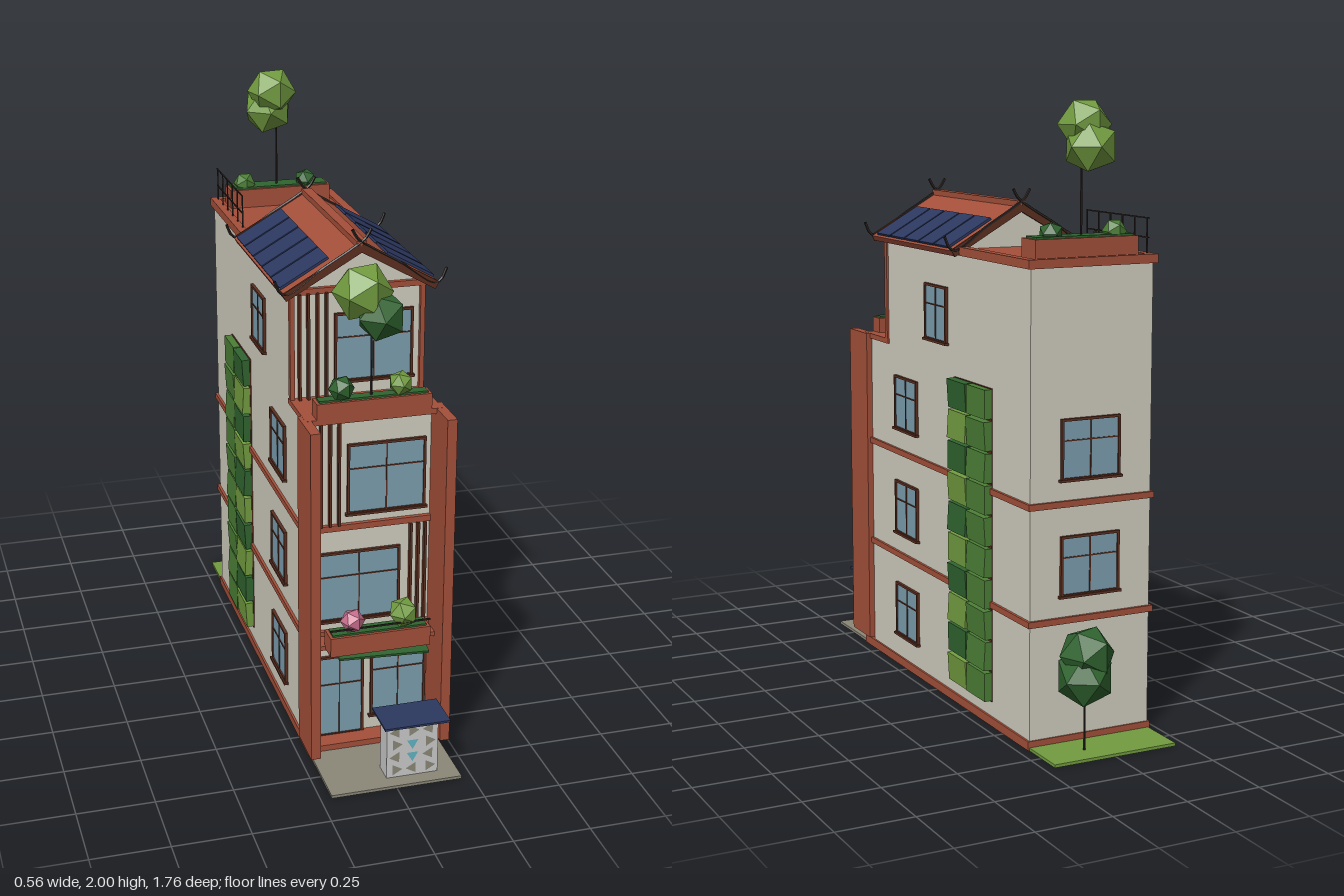
import * as THREE from 'three';

const C = {
  wall: 0xd2cec0, red: 0xa5503a, frame: 0x5c2f20, glass: 0x7d9fb0, dark: 0x2e2623, navy: 0x2c3860,
  light: 0x729c40, mid: 0x4c7f36, deep: 0x30642f, pink: 0xc96f8e, paving: 0x8b8778, teal: 0x62b4c4, pale: 0xcccccc,
};
const mats = {};
const mat = (c) => (mats[c] ??= new THREE.MeshStandardMaterial({ color: C[c], flatShading: true, side: THREE.DoubleSide }));

function add(parent, name, geo, color, x = 0, y = 0, z = 0) {
  const m = new THREE.Mesh(geo, mat(color));
  m.name = name;
  m.position.set(x, y, z);
  parent.add(m);
  return m;
}
// Box given by its bounds
function box(parent, name, color, [x0, x1], [y0, y1], [z0, z1]) {
  return add(parent, name, new THREE.BoxGeometry(x1 - x0, y1 - y0, z1 - z0), color,
    (x0 + x1) / 2, (y0 + y1) / 2, (z0 + z1) / 2);
}
function group(parent, name) {
  const g = new THREE.Group();
  g.name = name;
  parent.add(g);
  return g;
}

// Framed pane facing +z, origin at its centre
function windowUnit(parent, name, w, h, sill = true) {
  const g = group(parent, name), a = w / 2, b = h / 2, t = 0.008;
  box(g, 'glass', 'glass', [-a, a], [-b, b], [-0.002, 0.004]);
  for (const s of [-1, 1]) {
    box(g, 'frameSide', 'frame', [s * a - t / 2, s * a + t / 2], [-b, b], [-0.002, 0.009]);
    box(g, 'frameRail', 'frame', [-a - t / 2, a + t / 2], [s * b - t / 2, s * b + t / 2], [-0.002, 0.009]);
  }
  box(g, 'mullion', 'frame', [-0.002, 0.002], [-b, b], [0, 0.007]);
  box(g, 'transom', 'frame', [-a, a], [b * 0.3 - 0.002, b * 0.3 + 0.002], [0, 0.007]);
  if (sill) box(g, 'sill', 'frame', [-a - 0.01, a + 0.01], [-b - 0.008, -b], [-0.002, 0.014]);
  return g;
}

// Faceted clump of leaves
function clump(parent, color, r, x, y, z, turn = 0) {
  add(parent, 'foliage', new THREE.IcosahedronGeometry(r, 0), color, x, y, z).rotation.y = turn;
}
function trunk(parent, x, z, y0, y1) {
  add(parent, 'trunk', new THREE.CylinderGeometry(0.003, 0.004, y1 - y0, 5), 'dark', x, (y0 + y1) / 2, z);
}
function planter(parent, name, hw, y, z) {
  const g = group(parent, name);
  box(g, 'trough', 'red', [-hw, hw], y, z);
  box(g, 'planting', 'deep', [-hw + 0.01, hw - 0.01], [y[1] - 0.005, y[1] + 0.006], [z[0] + 0.01, z[1] - 0.01]);
  return g;
}
function louvres(parent, xs, y, z) {
  for (const x of xs) box(parent, 'louvre', 'frame', [x - 0.004, x + 0.004], y, [z, z + 0.018]);
}

export function createModel() {
  const root = new THREE.Group();
  root.name = 'townHouse';

  // Ground
  box(root, 'paving', 'paving', [-0.215, 0.215], [0, 0.01], [0.5, 0.88]);
  box(root, 'lawn', 'light', [-0.215, 0.215], [0, 0.01], [-0.84, -0.66]);

  // Walls, plinth and floor bands
  const body = group(root, 'body');
  box(body, 'plinth', 'red', [-0.22, 0.22], [0.001, 0.03], [-0.675, 0.62]);
  box(body, 'lowerWalls', 'wall', [-0.213, 0.213], [0.03, 1.15], [-0.67, 0.55]);
  box(body, 'upperWalls', 'wall', [-0.213, 0.213], [1.15, 1.51], [-0.67, 0.4]);
  for (const y of [0.395, 0.765]) box(body, 'floorBand', 'red', [-0.222, 0.222], [y, y + 0.02], [-0.68, 0.565]);
  box(body, 'terraceSlab', 'red', [-0.22, 0.22], [1.145, 1.163], [0.39, 0.6]);
  for (const s of [-1, 1]) {
    add(body, 'frontFin', new THREE.BoxGeometry(0.032, 1.125, 0.155), 'red', s * 0.217, 0.6, 0.627);
    add(body, 'terracePost', new THREE.BoxGeometry(0.015, 0.35, 0.02), 'red', s * 0.212, 1.335, 0.405);
  }

  // Side windows and planted walls, both sides
  for (const s of [-1, 1]) {
    for (const [z, y, w] of [[0.243, 0.207, 0.175], [0.243, 0.577, 0.175], [0.243, 0.95, 0.175], [-0.005, 1.298, 0.16]]) {
      const win = windowUnit(root, 'sideWindow', w, 0.18);
      win.position.set(s * 0.214, y, z);
      win.rotation.y = s * Math.PI / 2;
    }
    const green = group(root, 'greenWall');
    const shades = ['light', 'deep', 'mid', 'mid', 'deep', 'light', 'light', 'mid', 'deep'];
    for (let r = 0; r < 10; r++) for (let c = 0; c < 2; c++) {
      const p = add(green, 'plantPanel', new THREE.BoxGeometry(0.028, 0.094, 0.133),
        shades[(r * 4 + c * 7 + (r >> 1)) % 9], s * 0.228, 0.131 + r * 0.1027, -0.209 - c * 0.139);
      p.rotation.z = s * (((r + c) % 3) - 1) * 0.06;
    }
    box(green, 'backing', 'frame', s > 0 ? [0.21, 0.217] : [-0.217, -0.21], [0.08, 1.105], [-0.415, -0.14]);
  }

  // Back windows
  for (const y of [0.577, 0.945]) {
    const win = windowUnit(root, 'backWindow', 0.2, 0.185);
    win.position.set(0.005, y, -0.671);
    win.rotation.y = Math.PI;
  }

  // Front openings: x, y, z, width, height
  for (const [name, x, y, z, w, h] of [
    ['door', -0.097, 0.172, 0.551, 0.155, 0.285], ['groundWindow', 0.102, 0.21, 0.551, 0.18, 0.25],
    ['secondFloorWindow', -0.033, 0.567, 0.551, 0.265, 0.235], ['thirdFloorWindow', 0.055, 0.935, 0.551, 0.25, 0.23],
    ['terraceWindow', 0.055, 1.32, 0.401, 0.25, 0.22],
  ]) windowUnit(root, name, w, h, name !== 'door').position.set(x, y, z);
  louvres(root, [-0.19, -0.162, -0.132, -0.103], [1.163, 1.51], 0.41);
  louvres(root, [-0.19, -0.162, -0.132, -0.103], [0.785, 1.145], 0.555);
  louvres(root, [0.135, 0.16, 0.183], [0.415, 0.765], 0.555);

  // Balcony with flowers and a tilted awning
  const balcony = planter(root, 'balconyPlanter', 0.165, [0.39, 0.455], [0.62, 0.69]);
  box(balcony, 'balconyFloor', 'red', [-0.2, 0.2], [0.385, 0.4], [0.55, 0.63]);
  box(balcony, 'rail', 'dark', [-0.165, 0.165], [0.477, 0.482], [0.683, 0.688]);
  clump(balcony, 'pink', 0.04, -0.085, 0.495, 0.66, 0.4);
  clump(balcony, 'light', 0.05, 0.085, 0.5, 0.655, 0.8);
  const awning = add(root, 'awning', new THREE.BoxGeometry(0.3, 0.008, 0.12), 'deep', 0.015, 0.377, 0.625);
  awning.rotation.set(0.16, 0, -0.05);

  // Terrace planter and tree
  const terrace = planter(root, 'terracePlanter', 0.185, [1.16, 1.215], [0.545, 0.602]);
  trunk(terrace, -0.005, 0.575, 1.21, 1.5);
  clump(terrace, 'light', 0.095, -0.03, 1.55, 0.56, 0.3);
  clump(terrace, 'deep', 0.082, 0.02, 1.48, 0.59, 0.9);
  clump(terrace, 'deep', 0.042, -0.1, 1.25, 0.575, 0.5);
  clump(terrace, 'light', 0.04, 0.09, 1.25, 0.575, 1);

  // Flat roof with low kerb
  const deck = group(root, 'roofDeck');
  box(deck, 'slab', 'red', [-0.225, 0.225], [1.505, 1.524], [-0.68, 0.415]);
  box(deck, 'backKerb', 'red', [-0.225, 0.225], [1.52, 1.533], [-0.68, -0.65]);
  for (const s of [-1, 1]) add(deck, 'sideKerb', new THREE.BoxGeometry(0.03, 0.013, 0.48), 'red', s * 0.21, 1.5265, -0.44);

  // Roof planter and tree
  const garden = planter(root, 'roofPlanter', 0.18, [1.524, 1.588], [-0.635, -0.545]);
  trunk(garden, -0.005, -0.585, 1.58, 1.87);
  clump(garden, 'light', 0.085, -0.025, 1.928, -0.565, 0.2);
  clump(garden, 'light', 0.088, -0.033, 1.862, -0.59, 0.9);
  clump(garden, 'mid', 0.04, -0.12, 1.6, -0.59);
  clump(garden, 'deep', 0.04, 0.1, 1.6, -0.585, 1);

  // Roof railing
  const railing = group(root, 'railing');
  for (let i = 0; i < 6; i++) box(railing, 'post', 'dark', [-0.205, -0.201], [1.524, 1.642], [-0.275 - i * 0.075, -0.271 - i * 0.075]);
  for (const y of [1.58, 1.64]) box(railing, 'handrail', 'dark', [-0.205, -0.201], [y, y + 0.004], [-0.66, -0.27]);

  // Gabled roof
  const roof = group(root, 'gableRoof');
  const tri = new THREE.Shape([[-0.21, 1.52], [0.21, 1.52], [0, 1.642]].map(([x, y]) => new THREE.Vector2(x, y)));
  add(roof, 'gableWall', new THREE.ExtrudeGeometry(tri, { depth: 0.58, bevelEnabled: false }), 'wall', 0, 0, -0.18);
  const tilt = Math.atan2(0.14, 0.245);
  for (const s of [-1, 1]) {
    const slope = group(roof, 'roofSlope');
    slope.position.set(s * 0.1225, 1.583, 0.125);
    slope.rotation.z = -s * tilt;
    add(slope, 'roofSheet', new THREE.BoxGeometry(0.285, 0.02, 0.645), 'red');
    for (const z of [-0.322, 0.322]) add(slope, 'bargeBoard', new THREE.BoxGeometry(0.285, 0.026, 0.008), 'frame', 0, 0, z);
    for (let i = 0; i < 5; i++)
      add(slope, 'solarPanel', new THREE.BoxGeometry(0.176, 0.008, 0.108), 'navy', s * 0.047, 0.016, -0.238 + i * 0.1165);
    // Curled eave and crossed ridge finials
    const path = new THREE.CatmullRomCurve3([[-0.03, 1.712], [-0.012, 1.682], [0.03, 1.652], [0.13, 1.592],
      [0.235, 1.522], [0.258, 1.53], [0.276, 1.568]].map(([x, y]) => new THREE.Vector3(s * x, y, 0)));
    for (const z of [-0.2, 0.447]) add(roof, 'finial', new THREE.TubeGeometry(path, 24, 0.005, 5), 'dark', 0, 0, z);
  }
  box(roof, 'ridgeCap', 'red', [-0.016, 0.016], [1.65, 1.674], [-0.2, 0.45]);

  // Patterned kiosk with a panelled canopy
  const kiosk = group(root, 'kiosk');
  box(kiosk, 'cabinet', 'pale', [-0.02, 0.15], [0.01, 0.197], [0.76, 0.83]);
  box(kiosk, 'canopy', 'navy', [-0.042, 0.173], [0.212, 0.219], [0.74, 0.88]);
  for (const x of [-0.012, 0.142]) box(kiosk, 'canopyPost', 'dark', [x - 0.003, x + 0.003], [0.19, 0.214], [0.79, 0.796]);
  for (let r = 0; r < 4; r++) for (let c = 0; c < 3; c++) {
    const centre = c === 1 && r % 3 !== 0;
    const t = add(kiosk, 'triangleTile', new THREE.CircleGeometry(0.022, 3),
      centre ? 'teal' : 'paving', 0.01 + c * 0.055, 0.037 + r * 0.045, 0.832);
    t.rotation.z = centre ? -Math.PI / 2 : ((r + c) % 2) * Math.PI;
  }

  // Garden tree behind the house
  const tree = group(root, 'gardenTree');
  trunk(tree, 0.07, -0.765, 0.01, 0.25);
  clump(tree, 'deep', 0.09, 0.075, 0.325, -0.785, 0.4);
  clump(tree, 'deep', 0.095, 0.085, 0.255, -0.79, 1);
  return root;
}
